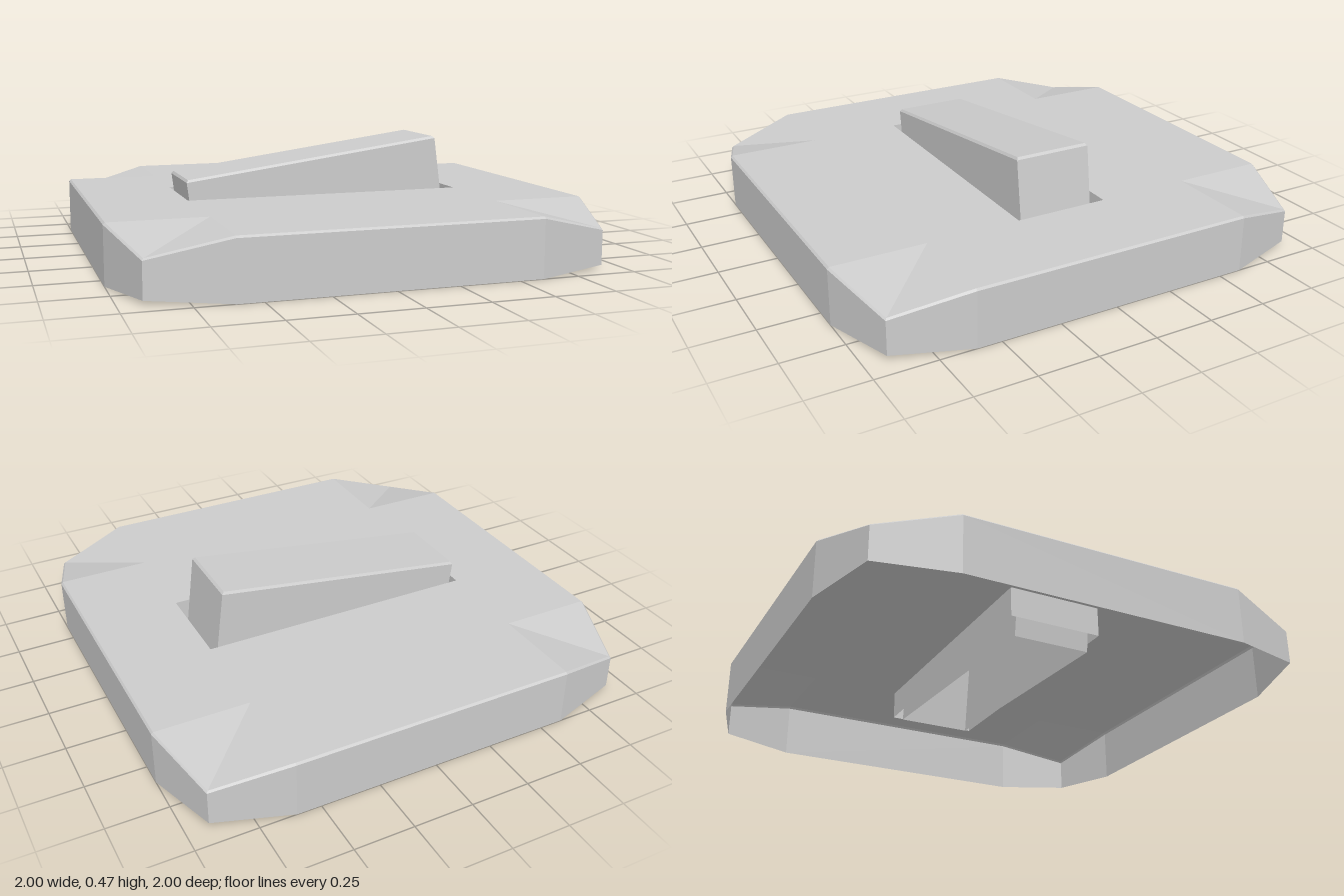
import * as THREE from 'three';

const material = new THREE.MeshStandardMaterial({ color: 0xcccccc, flatShading: true, side: THREE.DoubleSide });

// Skins consecutive rings of [x, y, z] points with flat quads, optionally closing the last ring.
function loft(name, rings, cap = false) {
  const pos = [];
  const tri = (a, b, c) => {
    const [A, B, C] = [a, b, c].map((p) => new THREE.Vector3(...p));
    if (new THREE.Triangle(A, B, C).getArea() > 1e-8) pos.push(...a, ...b, ...c);
  };
  for (let r = 0; r < rings.length - 1; r++) {
    const lo = rings[r], hi = rings[r + 1];
    for (let i = 0; i < lo.length; i++) {
      const j = (i + 1) % lo.length;
      tri(lo[i], hi[i], hi[j]);
      tri(lo[i], hi[j], lo[j]);
    }
  }
  if (cap) {
    const t = rings[rings.length - 1];
    for (let i = 1; i < t.length - 1; i++) tri(t[0], t[i + 1], t[i]);
  }
  const geo = new THREE.BufferGeometry();
  geo.setAttribute('position', new THREE.Float32BufferAttribute(pos, 3));
  geo.computeVertexNormals();
  const mesh = new THREE.Mesh(geo, material);
  mesh.name = name;
  return mesh;
}

// Mirrors the three points of one corner into a 12-point ring running from +x towards +z.
function cornerRing(points) {
  const flip = [...points].reverse();
  const put = (list, sx, sz) => list.map(([x, y, z]) => [x * sx, y, z * sz]);
  return [...put(points, 1, 1), ...put(flip, -1, 1), ...put(points, -1, -1), ...put(flip, 1, -1)];
}

const same = (x, y, z) => cornerRing([[x, y, z], [x, y, z], [x, y, z]]);

// Four-cornered ring of the rocker, from its right and left end points.
const rockerRing = ([xr, yr], [xl, yl], z) => [[xr, yr, -z], [xr, yr, z], [xl, yl, z], [xl, yl, -z]];

export function createModel() {
  const group = new THREE.Group();
  group.name = 'wallSwitch';

  // Hollow cover plate with sloped corners and a slim edge bevel
  const top = 0.24;
  group.add(loft('coverPlate', [
    cornerRing([[1, 0.004, 0.6], [0.91, 0.015, 0.91], [0.6, 0.004, 1]].map(([x, y, z]) => [x, y === 0.004 ? 0 : y, z])),
    cornerRing([[1, top - 0.008, 0.6], [0.91, 0.155, 0.91], [0.6, top - 0.008, 1]]),
    cornerRing([[0.992, top, 0.6], [0.904, 0.163, 0.904], [0.6, top, 0.992]]),
    same(0.6, top, 0.6),
    same(0.6, top, 0.2),
  ]));

  // Collar hanging below the slot
  group.add(loft('slotCollar', [same(0.6, top, 0.2), same(0.6, 0.115, 0.2)]));

  // Tilted rocker, open underneath, with a bevelled top
  group.add(loft('rocker', [
    rockerRing([0.57, 0.1], [-0.563, 0.05], 0.165),
    rockerRing([0.522, 0.46], [-0.597, 0.308], 0.165),
    rockerRing([0.512, 0.469], [-0.59, 0.319], 0.157),
  ], true));

  return group;
}
